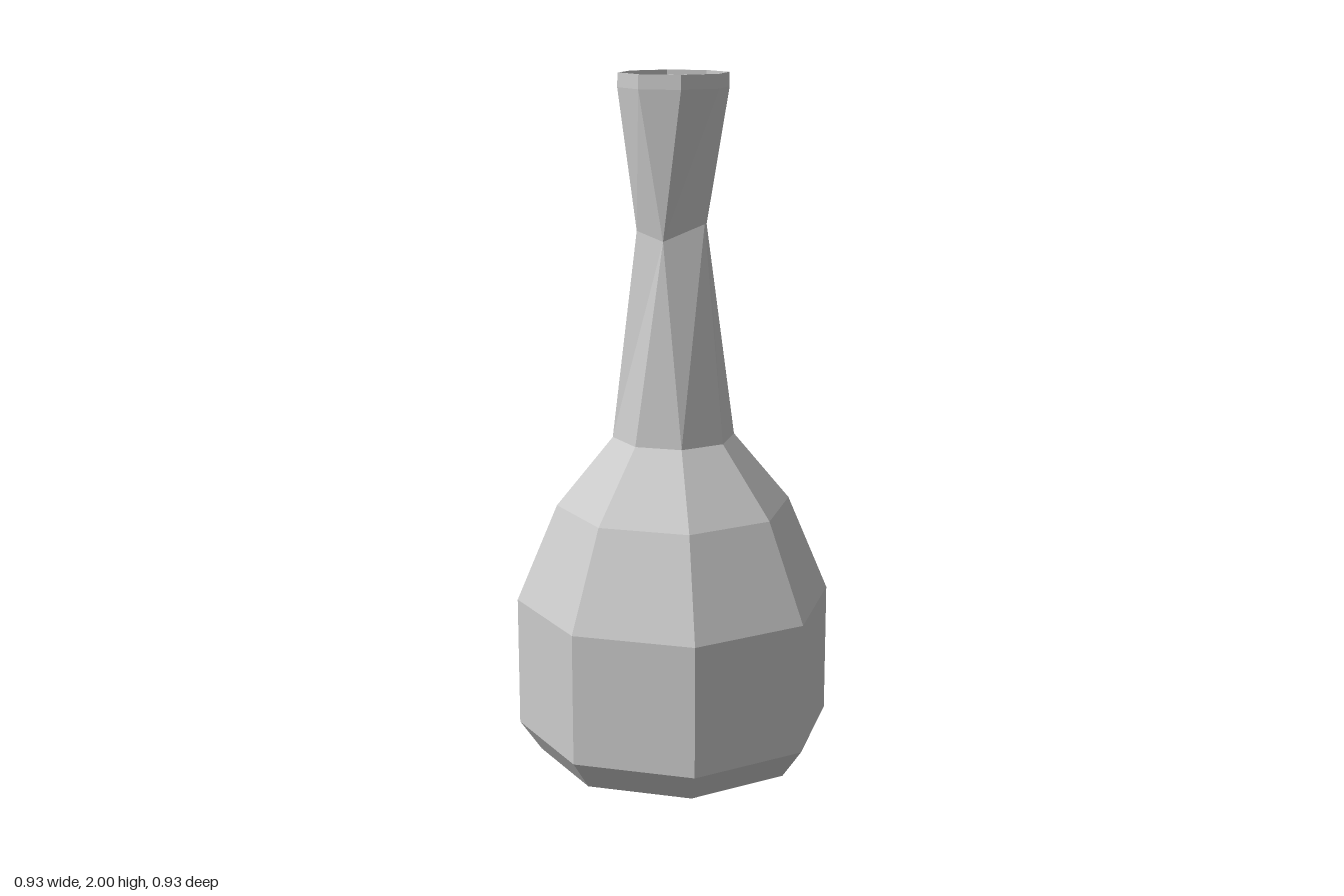
import * as THREE from 'three';

const SIDES = 8; // column 0 faces +z, column 2 faces +x

// One level of the bottle; entries in "moved" reposition single columns as [x, y, z]
function ring(radius, y, moved = {}) {
  return Array.from({ length: SIDES }, (_, k) => {
    const a = (k / SIDES) * Math.PI * 2;
    return new THREE.Vector3(...(moved[k] ?? [radius * Math.sin(a), y, radius * Math.cos(a)]));
  });
}

// Joins successive rings with flat facets, skipping collapsed triangles
function loft(name, rings, material) {
  const points = [];
  const tri = (a, b, c) => {
    const area = b.clone().sub(a).cross(c.clone().sub(a)).length();
    if (area > 1e-7) points.push(a, b, c);
  };
  for (let i = 0; i < rings.length - 1; i++) {
    for (let k = 0; k < SIDES; k++) {
      const n = (k + 1) % SIDES;
      tri(rings[i][k], rings[i][n], rings[i + 1][n]);
      tri(rings[i][k], rings[i + 1][n], rings[i + 1][k]);
    }
  }
  const geometry = new THREE.BufferGeometry().setFromPoints(points);
  geometry.computeVertexNormals();
  const mesh = new THREE.Mesh(geometry, material);
  mesh.name = name;
  return mesh;
}

export function createModel() {
  const group = new THREE.Group();
  group.name = 'bottle';
  const glass = new THREE.MeshStandardMaterial({
    color: 0xcccccc, flatShading: true, side: THREE.DoubleSide,
  });

  // Two neighbouring columns have a single, sharper shoulder corner
  const corner = { 2: [0.435, 0.6, -0.01], 3: [0.31, 0.6, -0.315] };
  const shoulderTop = ring(0.178, 0.96);
  const lip = ring(0.158, 1.96);

  // Body with closed, bevelled foot and sloping shoulders
  group.add(loft('body', [
    ring(0, 0), ring(0.4, 0), ring(0.463, 0.09),
    ring(0.463, 0.475, corner), ring(0.343, 0.76, corner), shoulderTop,
  ], glass));

  // Neck pinched to five corners at its waist
  const front = [0, 1.585, 0.11], right = [0.103, 1.57, 0.04], back = [0.04, 1.57, -0.1];
  const backLeft = [-0.08, 1.56, -0.07], left = [-0.1, 1.54, 0.04];
  const waist = ring(0.105, 1.57, {
    0: front, 1: right, 2: right, 3: back, 4: back, 5: backLeft, 6: left, 7: left,
  });
  group.add(loft('neck', [shoulderTop, waist, lip], glass));

  // Thin rim around the sunken top
  group.add(loft('mouth', [
    lip, ring(0.157, 2), ring(0.153, 2), ring(0.153, 1.95), ring(0, 1.95),
  ], glass));

  return group;
}
